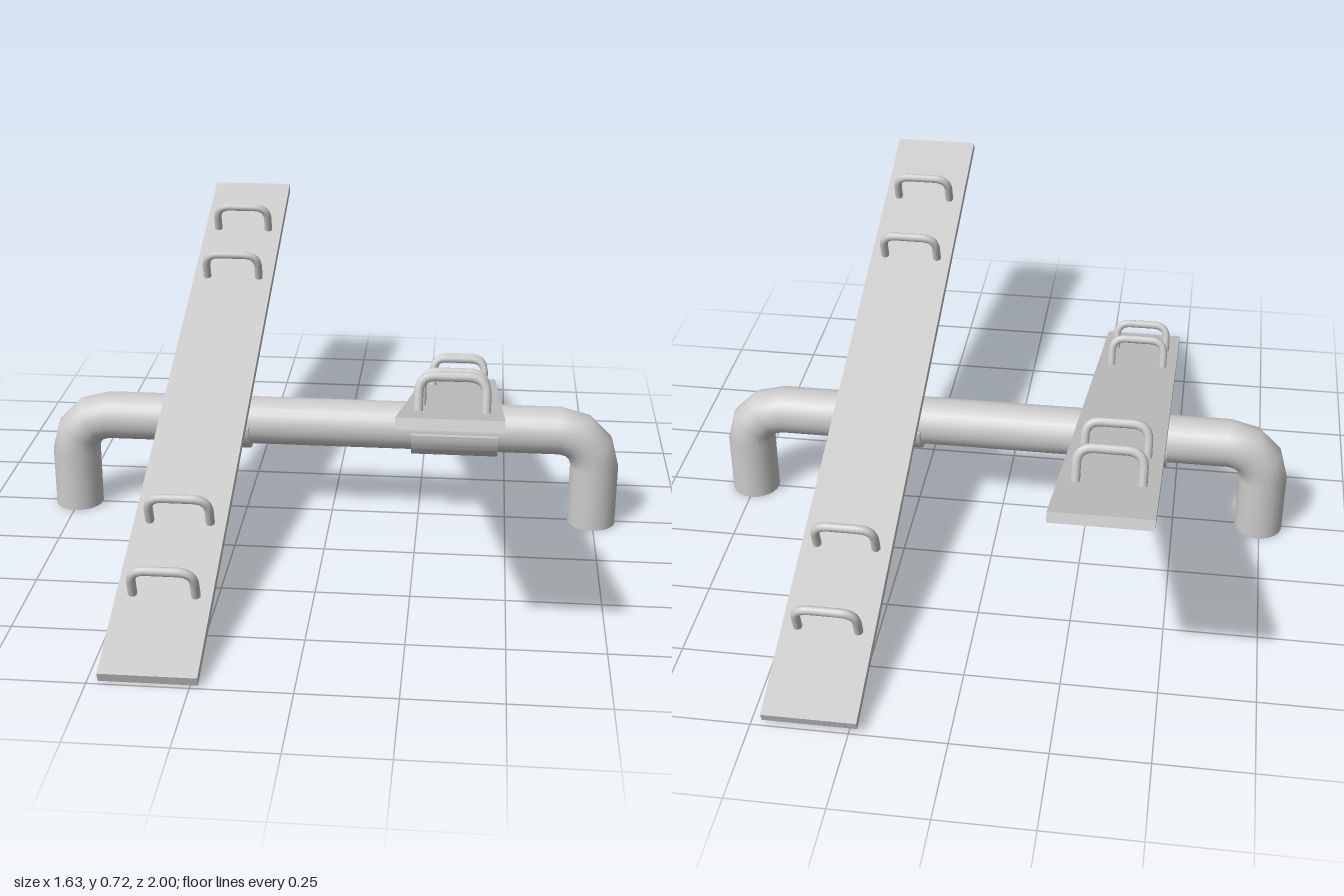
import * as THREE from 'three';
import { toCreasedNormals } from 'three/addons/utils/BufferGeometryUtils.js';

const solid = new THREE.MeshStandardMaterial({ color: 0xcccccc });
const open = new THREE.MeshStandardMaterial({ color: 0xcccccc, side: THREE.DoubleSide });

const PIPE_R = 0.068, PIPE_Y = 0.277, LEG_X = 0.747, BEND_R = 0.102;
const BOARD_L = 2.09, BOARD_W = 0.243, BOARD_T = 0.026;

function add(parent, name, geometry, material = solid) {
  const mesh = new THREE.Mesh(geometry, material);
  mesh.name = name;
  parent.add(mesh);
  return mesh;
}

// Bent pipe: crossbar, two coarse elbows and two hollow legs
function createFrame() {
  const frame = new THREE.Group();
  frame.name = 'pipeFrame';
  const barHalf = LEG_X - BEND_R, legH = PIPE_Y - BEND_R;
  const bar = add(frame, 'crossbar',
    new THREE.CylinderGeometry(PIPE_R, PIPE_R, 2 * barHalf, 24, 1, true), open);
  bar.rotation.z = Math.PI / 2;
  bar.position.y = PIPE_Y;
  for (const side of [1, -1]) {
    const name = side > 0 ? 'left' : 'right';
    const elbow = add(frame, name + 'Elbow',
      new THREE.TorusGeometry(BEND_R, PIPE_R, 24, 3, Math.PI / 2), open);
    elbow.position.set(side * barHalf, legH, 0);
    if (side < 0) elbow.rotation.y = Math.PI;
    const leg = add(frame, name + 'Leg',
      new THREE.CylinderGeometry(PIPE_R, PIPE_R, legH, 24, 1, true), open);
    leg.position.set(side * LEG_X, legH / 2, 0);
  }
  return frame;
}

// U-shaped grab handle with rounded corners, feet at y = 0
function createHandleGeometry() {
  const w = 0.08, h = 0.083, r = 0.042;
  const v = (x, y) => new THREE.Vector3(x, y, 0);
  const path = new THREE.CurvePath();
  path.add(new THREE.LineCurve3(v(-w, 0), v(-w, h - r)));
  path.add(new THREE.QuadraticBezierCurve3(v(-w, h - r), v(-w, h), v(r - w, h)));
  path.add(new THREE.LineCurve3(v(r - w, h), v(w - r, h)));
  path.add(new THREE.QuadraticBezierCurve3(v(w - r, h), v(w, h), v(w, h - r)));
  path.add(new THREE.LineCurve3(v(w, h - r), v(w, 0)));
  return new THREE.TubeGeometry(path, 32, 0.012, 10, false);
}

// Half-round saddle hugging the underside of the crossbar
function createSaddleGeometry() {
  const outer = 0.084, inner = 0.07;
  const shape = new THREE.Shape();
  shape.absarc(0, 0, outer, Math.PI, 2 * Math.PI, false);
  shape.lineTo(inner, 0);
  shape.absarc(0, 0, inner, 2 * Math.PI, Math.PI, true);
  shape.closePath();
  const geo = new THREE.ExtrudeGeometry(shape,
    { depth: BOARD_W, bevelEnabled: false, curveSegments: 16 });
  geo.translate(0, 0, -BOARD_W / 2);
  geo.rotateY(Math.PI / 2);
  return toCreasedNormals(geo, 0.6);
}

export function createModel() {
  const model = new THREE.Group();
  model.name = 'doubleSeesaw';
  model.add(createFrame());

  const handleGeo = createHandleGeometry();
  const saddleGeo = createSaddleGeometry();
  const boardGeo = new THREE.BoxGeometry(BOARD_W, BOARD_T, BOARD_L);

  // Two boards tilted in opposite directions
  const boards = [
    { name: 'right', x: -0.352, y: 0.359, z: 0.006, tilt: 19.3 },
    { name: 'left', x: 0.35, y: 0.359, z: -0.007, tilt: -18.7 },
  ];
  for (const b of boards) {
    const seesaw = new THREE.Group();
    seesaw.name = b.name + 'Seesaw';
    seesaw.position.set(b.x, b.y, b.z);
    seesaw.rotation.x = THREE.MathUtils.degToRad(b.tilt);
    add(seesaw, 'board', boardGeo);
    for (const s of [-0.785, -0.53, 0.53, 0.785]) {
      add(seesaw, 'handle', handleGeo, open).position.set(0, BOARD_T / 2, s);
    }
    model.add(seesaw);

    add(model, b.name + 'Saddle', saddleGeo).position.set(b.x, 0.281, 0);
  }
  return model;
}
